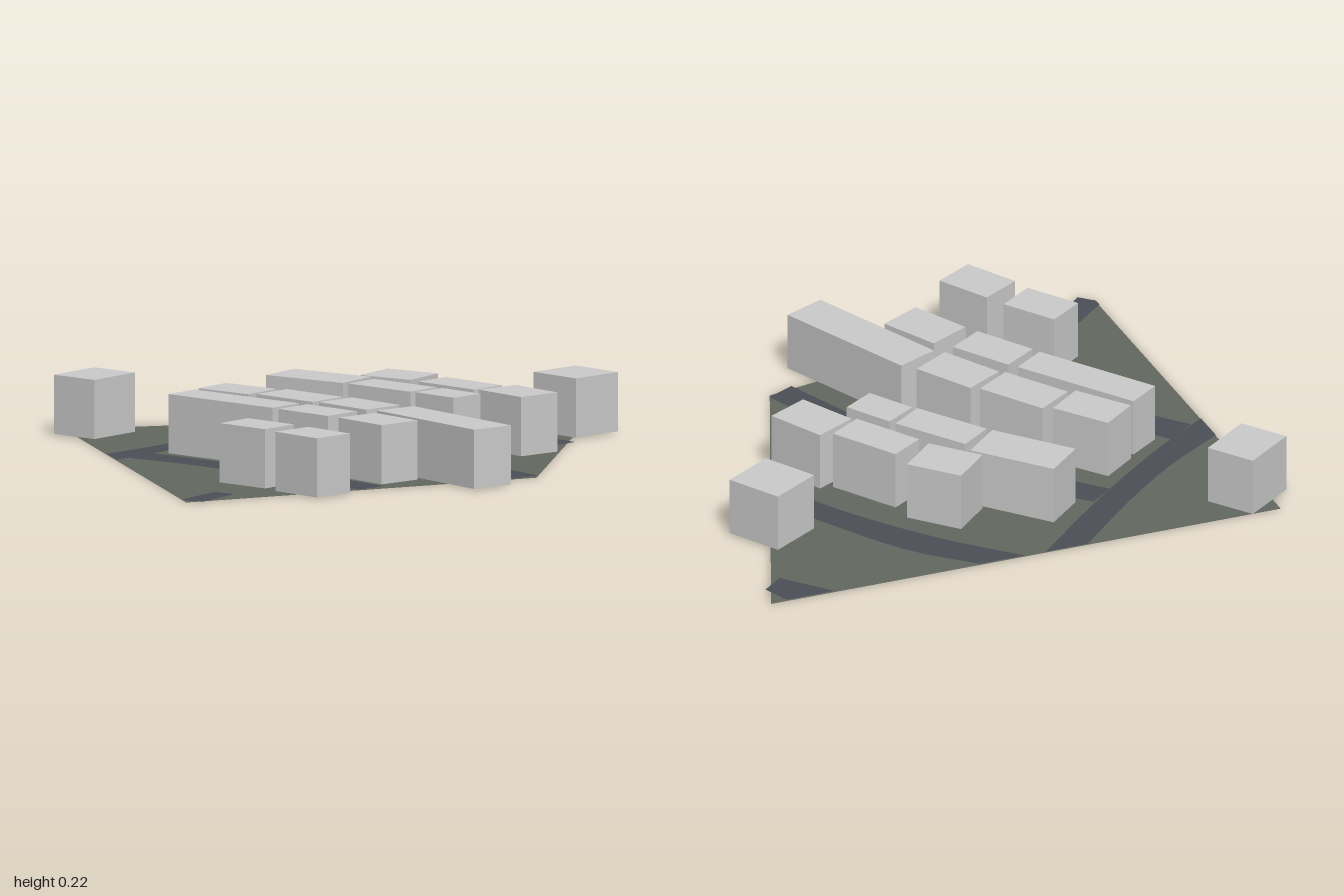
import * as THREE from 'three';

const HEIGHT = 0.215;
const BASE = 0.005;

const wall = new THREE.MeshStandardMaterial({ color: 0xcccccc, flatShading: true });
const grass = new THREE.MeshStandardMaterial({ color: 0x62685f, side: THREE.DoubleSide });
const asphalt = new THREE.MeshStandardMaterial({ color: 0x4c5057, side: THREE.DoubleSide });

// Flat sheet from [x, z] outline points
function sheet(points, y, material, name) {
  const shape = new THREE.Shape(points.map(([x, z]) => new THREE.Vector2(x, -z)));
  const mesh = new THREE.Mesh(new THREE.ShapeGeometry(shape).rotateX(-Math.PI / 2), material);
  mesh.position.y = y;
  mesh.name = name;
  return mesh;
}

// Smooth road edge through a few [x, z] points
function edge(points) {
  const curve = new THREE.SplineCurve(points.map(([x, z]) => new THREE.Vector2(x, z)));
  return curve.getPoints(12).map((p) => [p.x, p.y]);
}

// Block whose footprint has back edge a-b and side b-c
function building([ax, az, bx, bz, cx, cz], index) {
  const width = Math.hypot(bx - ax, bz - az);
  const px = -(bz - az) / width;
  const pz = (bx - ax) / width;
  const depth = (cx - bx) * px + (cz - bz) * pz;
  const mesh = new THREE.Mesh(new THREE.BoxGeometry(width, HEIGHT - BASE, depth), wall);
  mesh.position.set((ax + bx + px * depth) / 2, (HEIGHT + BASE) / 2, (az + bz + pz * depth) / 2);
  mesh.rotation.y = -Math.atan2(bz - az, bx - ax);
  mesh.name = `building${index + 1}`;
  return mesh;
}

export function createModel() {
  const model = new THREE.Group();
  model.name = 'cityBlock';

  // Ground plot
  model.add(sheet([[-0.93, -0.88], [1, -0.88], [0.4, 0.6], [-0.93, 0.85]], 0, grass, 'ground'));

  // Curved streets, each as a left and a right edge
  const roads = new THREE.Group();
  roads.name = 'roads';
  const streets = {
    crossStreet: [
      [[-0.93, -0.28], [-0.7, -0.43], [-0.46, -0.63], [-0.2, -0.88]],
      [[-0.93, -0.14], [-0.66, -0.33], [-0.35, -0.59], [-0.04, -0.88]],
    ],
    westStreet: [
      [[-0.88, -0.17], [-0.71, 0.04], [-0.5, 0.36], [-0.275, 0.74]],
      [[-0.77, -0.25], [-0.57, 0.03], [-0.33, 0.39], [-0.17, 0.68]],
    ],
    middleStreet: [
      [[-0.43, -0.52], [-0.18, -0.24], [0.09, 0.13], [0.305, 0.63]],
      [[-0.34, -0.59], [-0.075, -0.32], [0.19, 0.07], [0.41, 0.58]],
    ],
    eastStreet: [
      [[0.04, -0.88], [0.27, -0.64], [0.49, -0.34], [0.635, -0.075]],
      [[0.21, -0.88], [0.41, -0.68], [0.6, -0.37], [0.725, -0.13]],
    ],
  };
  Object.entries(streets).forEach(([name, [left, right]], i) => {
    const outline = [...edge(left), ...edge(right).reverse()];
    roads.add(sheet(outline, 0.004 + i * 0.0003, asphalt, name));
  });

  // Road ends at two corners of the plot
  roads.add(sheet([[0.76, -0.88], [0.94, -0.88], [0.98, -0.78], [0.9, -0.715]],
    BASE, asphalt, 'backCornerRoad'));
  roads.add(sheet([[-0.93, 0.8], [-0.78, 0.67], [-0.725, 0.735], [-0.88, 0.88], [-0.93, 0.83]],
    BASE, asphalt, 'frontCornerRoad'));
  model.add(roads);

  // Buildings: three footprint corners each
  const footprints = [
    [-1, -0.76, -0.82, -0.89, -0.71, -0.74],
    [0.645, -0.41, 0.825, -0.515, 0.93, -0.33],
    [-0.28, -0.57, -0.15, -0.685, 0.065, -0.44],
    [0.04, -0.49, 0.17, -0.61, 0.31, -0.455],
    [-0.05, -0.31, 0.065, -0.39, 0.235, -0.155],
    [0.2, -0.295, 0.32, -0.37, 0.47, -0.145],
    [0.13, -0.06, 0.245, -0.13, 0.34, 0.03],
    [0.36, -0.06, 0.51, -0.135, 0.615, 0.065],
    [-0.72, -0.23, -0.605, -0.31, -0.32, 0.08],
    [-0.585, -0.335, -0.46, -0.43, -0.325, -0.25],
    [-0.42, -0.155, -0.29, -0.24, -0.14, -0.02],
    [-0.255, 0.08, -0.115, 0, 0.01, 0.205],
    [-0.43, 0.195, -0.305, 0.115, -0.17, 0.31],
    [-0.105, 0.315, 0.045, 0.25, 0.28, 0.755],
    [-0.275, 0.44, -0.125, 0.365, -0.02, 0.57],
    [-0.71, 0.46, -0.585, 0.375, -0.465, 0.55],
    [-0.57, 0.7, -0.43, 0.62, -0.33, 0.805],
  ];
  const buildings = new THREE.Group();
  buildings.name = 'buildings';
  footprints.forEach((f, i) => buildings.add(building(f, i)));
  model.add(buildings);

  return model;
}
